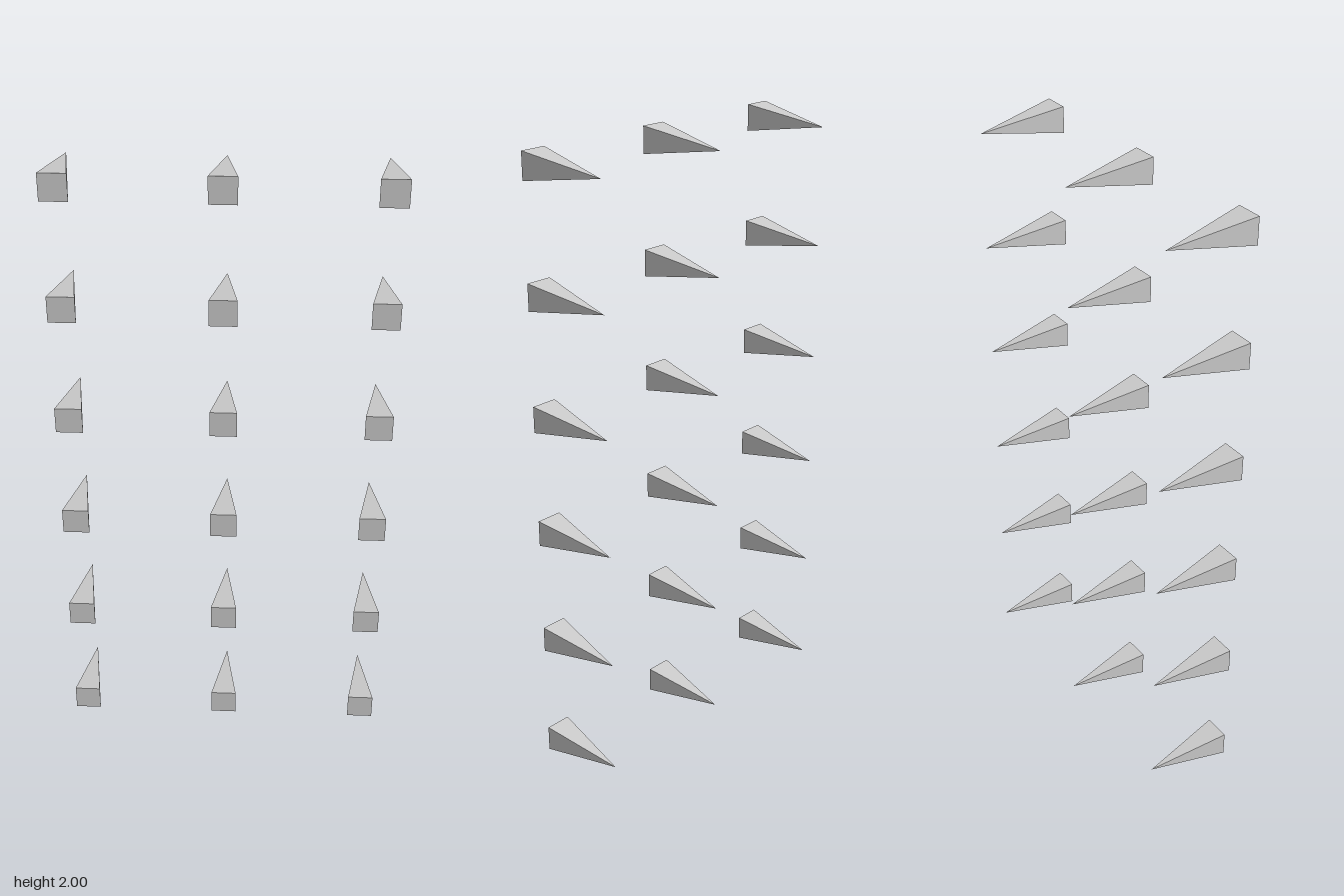
import * as THREE from 'three';

export function createModel() {
  const model = new THREE.Group();
  model.name = 'spikeGrid';

  const base = 0.085, length = 0.274;
  const columns = 3, rows = 6;
  const columnGap = 0.479, rowGap = (2 - base) / (rows - 1);

  const material = new THREE.MeshStandardMaterial({ color: 0xcccccc, flatShading: true });

  // Square pyramid: flat base towards the front, tip towards the back
  const spikeGeometry = new THREE.ConeGeometry(base / Math.SQRT2, length, 4);
  spikeGeometry.rotateY(Math.PI / 4);
  spikeGeometry.rotateX(-Math.PI / 2);

  // Regular grid of spikes, row by row from the bottom
  for (let r = 0; r < rows; r++) {
    const row = new THREE.Group();
    row.name = `spikeRow${r + 1}`;
    row.position.y = base / 2 + r * rowGap;
    for (let c = 0; c < columns; c++) {
      const spike = new THREE.Mesh(spikeGeometry, material);
      spike.name = `spike${r + 1}_${c + 1}`;
      spike.position.x = (c - (columns - 1) / 2) * columnGap;
      row.add(spike);
    }
    model.add(row);
  }
  return model;
}
